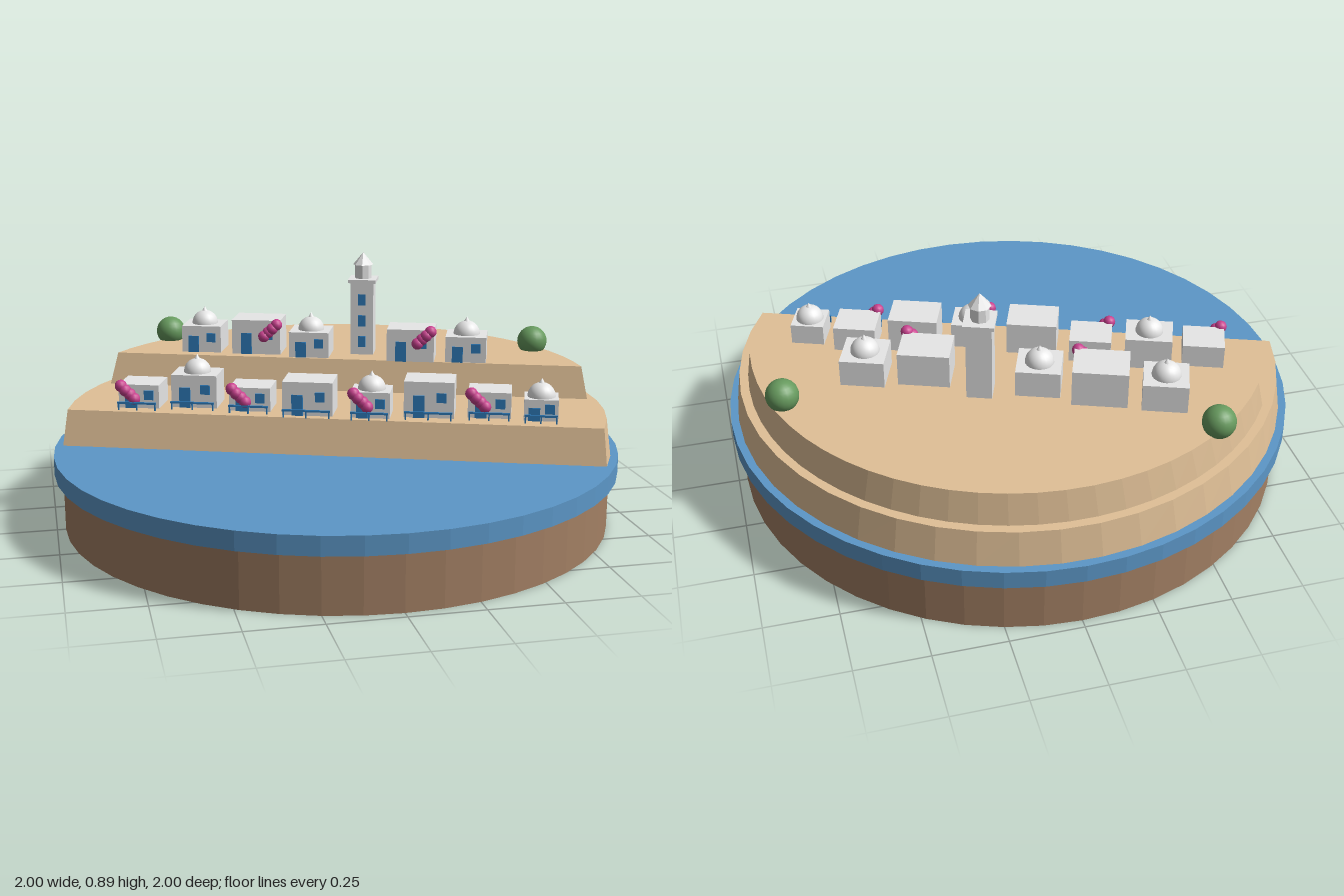
import * as THREE from 'three';

const mat = (name, color) => Object.assign(new THREE.MeshStandardMaterial({ color }), { name });

export function createModel() {
  const M = {
    rock: mat('brown rock', 0xa38064),
    sea: mat('sea blue', 0x5c97c7),
    sand: mat('sand', 0xe0c097),
    wall: mat('whitewash', 0xececec),
    paint: mat('blue paint', 0x2f7fc0),
    flower: mat('magenta flowers', 0xc9418f),
    leaf: mat('leaf green', 0x679a5e),
  };
  const root = new THREE.Group();
  root.name = 'islandVillage';

  const add = (parent, name, geo, material, x = 0, y = 0, z = 0) => {
    const m = new THREE.Mesh(geo, material);
    m.name = name;
    m.position.set(x, y, z);
    parent.add(m);
    return m;
  };
  const box = (w, h, d) => new THREE.BoxGeometry(w, h, d);
  const faceted = (geo) => {
    const g = geo.toNonIndexed();
    g.computeVertexNormals();
    return g;
  };

  // Round plinth and sea disc
  add(root, 'plinth', faceted(new THREE.CylinderGeometry(0.97, 0.97, 0.2, 48)), M.rock, 0, 0.1, 0);
  add(root, 'sea', faceted(new THREE.CylinderGeometry(1, 1, 0.065, 48)), M.sea, 0, 0.2325, 0);

  // Everything on land is turned 20 degrees; local +z faces the sea
  const land = new THREE.Group();
  land.name = 'land';
  land.rotation.y = -THREE.MathUtils.degToRad(20);
  root.add(land);

  // Disc cut by a chord at z = c, running right, back, left
  const outline = (r, c, y, n = 26) => {
    const a = Math.asin(c / r);
    return Array.from({ length: n + 1 }, (_, i) => {
      const t = a - (i / n) * (Math.PI + 2 * a);
      return [r * Math.cos(t), y, r * Math.sin(t)];
    });
  };
  const terrace = (name, y0, y1, r0, r1, c0, c1) => {
    const lo = outline(r0, c0, y0), hi = outline(r1, c1, y1);
    const mid = [0, y1, c1];
    const pos = [];
    lo.forEach((p, i) => {
      const j = (i + 1) % lo.length;
      pos.push(...p, ...lo[j], ...hi[j], ...p, ...hi[j], ...hi[i]);
      if (j) pos.push(...mid, ...hi[i], ...hi[j]);
    });
    const g = new THREE.BufferGeometry();
    g.setAttribute('position', new THREE.Float32BufferAttribute(pos, 3));
    g.computeVertexNormals();
    add(land, name, g, M.sand);
  };
  terrace('lowerTerrace', 0.265, 0.39, 0.973, 0.955, 0.198, 0.168);
  terrace('upperTerrace', 0.39, 0.505, 0.924, 0.908, -0.225, -0.255);

  // Shared small shapes
  const domeGeo = new THREE.SphereGeometry(0.049, 20, 10, 0, Math.PI * 2, 0, Math.PI / 2);
  const knobGeo = new THREE.ConeGeometry(0.012, 0.02, 8);
  const blossomGeo = new THREE.SphereGeometry(0.022, 12, 8);

  // House: door and window on the seaward wall, optional dome, rail and flowers
  const house = (y, { x, z, w, d, h, dome, rail, bloom }) => {
    const g = new THREE.Group();
    g.name = 'house';
    g.position.set(x, y, z);
    land.add(g);
    const f = d / 2;
    add(g, 'walls', box(w, h, d), M.wall, 0, h / 2, 0);
    const dh = h * 0.62;
    add(g, 'door', box(0.04, dh, 0.006), M.paint, -w * 0.2, dh / 2, f + 0.002);
    add(g, 'window', box(0.034, 0.034, 0.006), M.paint, w * 0.25, h * 0.57, f + 0.002);
    if (dome) {
      add(g, 'dome', domeGeo, M.wall, 0, h, 0);
      add(g, 'domeTip', knobGeo, M.wall, 0, h + 0.055, 0);
    }
    if (rail) {
      add(g, 'rail', box(w * 0.95, 0.007, 0.007), M.paint, 0, 0.026, f + 0.032);
      for (const s of [-1, 0, 1])
        add(g, 'railPost', box(0.005, 0.024, 0.005), M.paint, s * w * 0.45, 0.012, f + 0.032);
    }
    // Blossoms tumble from a top corner towards the middle (bloom = side)
    if (bloom) {
      for (let i = 0; i < 4; i++)
        add(g, 'blossom', blossomGeo, M.flower,
          bloom * (w / 2 - 0.012 - i * 0.016), Math.min(h, 0.12) - 0.003 - i * 0.015, f + 0.01 + (i % 2) * 0.004);
    }
  };

  // Lower row
  [
    { x: -0.694, z: 0.047, w: 0.147, d: 0.13, h: 0.085, bloom: -1 },
    { x: -0.5, z: 0.017, w: 0.165, d: 0.13, h: 0.118, dome: true },
    { x: -0.294, z: 0.039, w: 0.148, d: 0.13, h: 0.085, bloom: -1 },
    { x: -0.083, z: 0.07, w: 0.178, d: 0.135, h: 0.12 },
    { x: 0.138, z: 0.081, w: 0.138, d: 0.12, h: 0.092, dome: true, bloom: -1 },
    { x: 0.34, z: 0.042, w: 0.175, d: 0.135, h: 0.128 },
    { x: 0.549, z: 0.022, w: 0.15, d: 0.13, h: 0.092, bloom: -1 },
    { x: 0.727, z: 0.043, w: 0.118, d: 0.115, h: 0.075, dome: true },
  ].forEach((o) => house(0.39, { ...o, rail: true }));

  // Upper row
  [
    { x: -0.558, z: -0.377, w: 0.15, d: 0.14, h: 0.1, dome: true },
    { x: -0.345, z: -0.369, w: 0.185, d: 0.14, h: 0.13, bloom: 1 },
    { x: -0.139, z: -0.337, w: 0.15, d: 0.14, h: 0.095, dome: true },
    { x: 0.244, z: -0.316, w: 0.175, d: 0.135, h: 0.12, bloom: 1 },
    { x: 0.448, z: -0.333, w: 0.15, d: 0.145, h: 0.095, dome: true },
  ].forEach((o) => house(0.505, o));

  // Bell tower
  const tower = new THREE.Group();
  tower.name = 'bellTower';
  tower.position.set(0.052, 0.505, -0.389);
  land.add(tower);
  add(tower, 'shaft', box(0.086, 0.275, 0.086), M.wall, 0, 0.1375, 0);
  add(tower, 'cornice', box(0.104, 0.013, 0.104), M.wall, 0, 0.28, 0);
  add(tower, 'lantern', faceted(new THREE.CylinderGeometry(0.031, 0.031, 0.052, 8)), M.wall, 0, 0.312, 0);
  add(tower, 'spire', faceted(new THREE.ConeGeometry(0.038, 0.046, 8)), M.wall, 0, 0.361, 0);
  for (const y of [0.05, 0.13, 0.21])
    add(tower, 'towerWindow', box(0.028, 0.042, 0.006), M.paint, 0, y, 0.045);

  // Round shrubs on the upper terrace
  for (const [x, z] of [[-0.508, -0.743], [0.829, -0.257]])
    add(root, 'shrub', new THREE.SphereGeometry(0.056, 20, 14), M.leaf, x, 0.538, z);

  return root;
}
